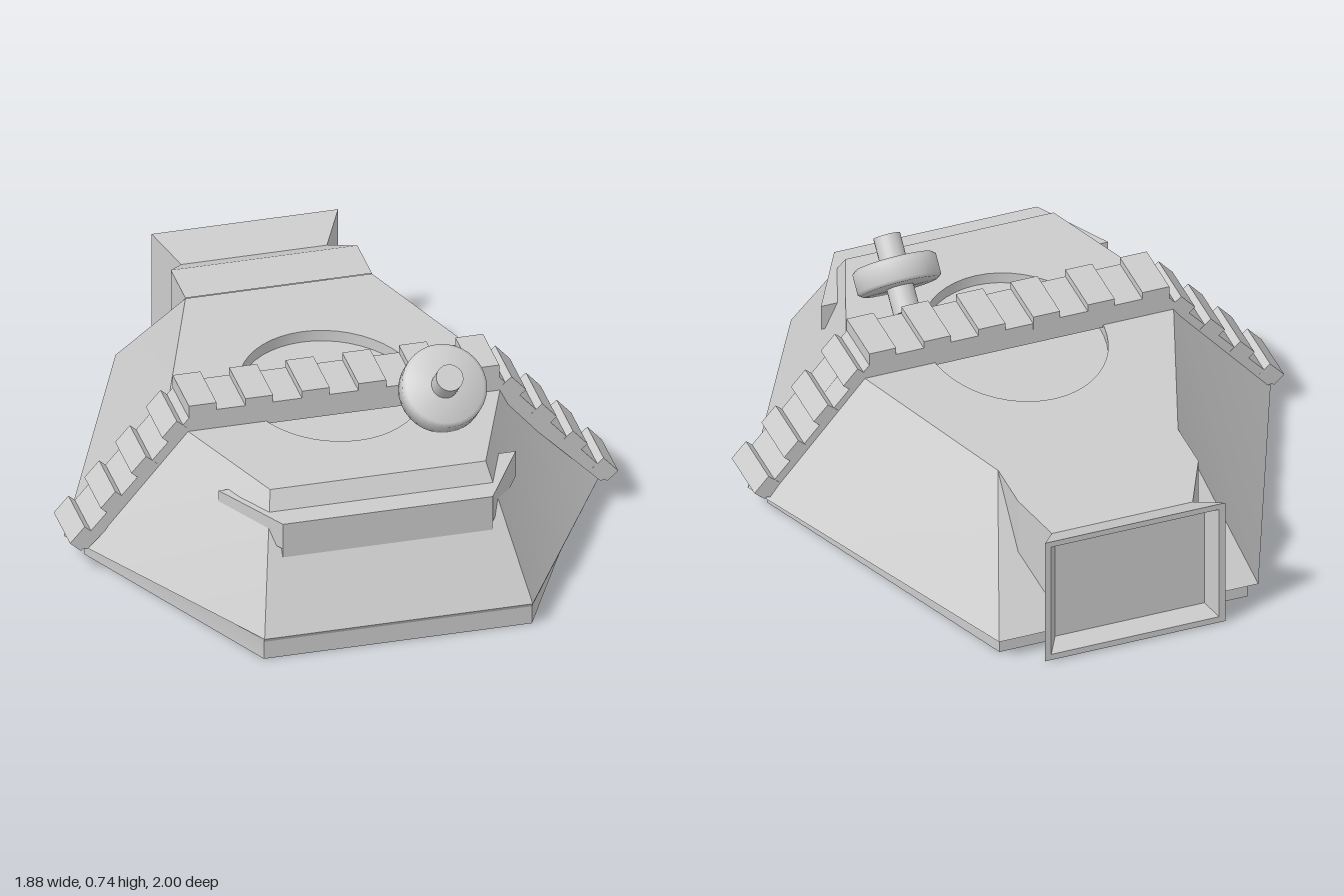
import * as THREE from 'three';
import { toCreasedNormals } from 'three/addons/utils/BufferGeometryUtils.js';

const grey = new THREE.MeshStandardMaterial({ color: 0xcccccc });
const shell = new THREE.MeshStandardMaterial({ color: 0xcccccc, side: THREE.DoubleSide });

// Skin through equal-length closed rings of [x, y, z] points
function loft(rings) {
  const pos = [];
  for (let r = 0; r < rings.length - 1; r++) {
    const a = rings[r], b = rings[r + 1], n = a.length;
    for (let i = 0; i < n; i++) {
      const j = (i + 1) % n;
      pos.push(...a[i], ...a[j], ...b[j], ...a[i], ...b[j], ...b[i]);
    }
  }
  const g = new THREE.BufferGeometry();
  g.setAttribute('position', new THREE.Float32BufferAttribute(pos, 3));
  return toCreasedNormals(g, 0.4);
}

// Six-sided outline, mirrored across x
function hex(y, front, side, back) {
  const half = [front, side, back];
  return [
    ...half.map(([x, z]) => [x, y, z]),
    ...half.slice().reverse().map(([x, z]) => [-x, y, z]),
  ];
}

// Oval outline of the turret ring
function oval(y, n = 48) {
  return Array.from({ length: n }, (_, i) => {
    const a = (i / n) * Math.PI * 2;
    return [0.3 * Math.cos(a), y, 0.12 - 0.37 * Math.sin(a)];
  });
}

// Flat horizontal plate facing up (s = 1) or down (s = -1)
function plate(ring, s, hole) {
  const flat = (r) => r.map(([x, , z]) => new THREE.Vector2(x, -s * z));
  const shape = new THREE.Shape(flat(ring));
  if (hole) shape.holes.push(new THREE.Path(flat(hole)));
  return new THREE.ShapeGeometry(shape).rotateX(-s * Math.PI / 2).translate(0, ring[0][1], 0);
}

// Rectangle across the duct
const rect = (w, y0, y1, z) => [[w, y1, z], [w, y0, z], [-w, y0, z], [-w, y1, z]];

// Solid from half an outline, mirrored across x and extruded along z
function mirroredSlab(half, depth) {
  const points = [...half, ...half.slice().reverse().map(([x, y]) => [-x, y])];
  const shape = new THREE.Shape(points.map(([x, y]) => new THREE.Vector2(x, y)));
  return new THREE.ExtrudeGeometry(shape, { depth, bevelEnabled: false });
}

export function createModel() {
  const model = new THREE.Group();
  const group = (name) => {
    const g = new THREE.Group();
    g.name = name;
    model.add(g);
    return g;
  };
  const add = (name, geometry, material = grey, parent = model) => {
    const mesh = new THREE.Mesh(geometry, material);
    mesh.name = name;
    parent.add(mesh);
    return mesh;
  };

  // Sloped hull with a shallow oval recess in the roof
  const hull = group('hull');
  const lower = hex(0.08, [0.46, 1.0], [0.93, 0.17], [0.46, -0.94]);
  const roof = hex(0.49, [0.37, 0.73], [0.58, 0.17], [0.32, -0.56]);
  add('hullSides', loft([lower, roof]), shell, hull);
  add('roof', plate(roof, 1, oval(0.49)), shell, hull);
  add('recessWall', loft([oval(0.49), oval(0.45)]), shell, hull);
  add('recessFloor', plate(oval(0.45), 1), shell, hull);

  // Skirt around the base, with a six-sided opening underneath
  const skirt = group('skirt');
  const skirtOutline = (y) => hex(y, [0.46, 0.99], [0.86, 0.17], [0.44, -0.89]);
  const opening = (y) => hex(y, [0.3, 0.72], [0.58, 0.2], [0.3, -0.52]);
  add('skirtSides', loft([skirtOutline(0), skirtOutline(0.065), lower]), shell, skirt);
  add('underside', plate(skirtOutline(0), -1, opening(0)), shell, skirt);
  add('openingWall', loft([opening(0.025), opening(0)]), shell, skirt);
  add('innerFloor', plate(opening(0.025), -1, oval(0.025)), shell, skirt);
  add('turretRing', loft([oval(0.002), oval(0.025)]), shell, skirt);
  add('turretBase', plate(oval(0.002), -1), shell, skirt);

  // Flared duct at the rear
  add('rearDuct', loft([
    rect(0.32, 0.1, 0.492, -0.56),
    rect(0.32, 0.1, 0.492, -0.75),
    rect(0.25, 0.1, 0.43, -0.88),
    rect(0.32, 0.005, 0.49, -1),
    rect(0.298, 0.028, 0.468, -1),
    rect(0.265, 0.06, 0.435, -0.95),
    rect(0, 0.25, 0.25, -0.95),
  ]), shell);

  // Wrap-around bar on the front slope
  const bar = group('frontBar');
  add('wrapBar', mirroredSlab([[0.36, 0.86], [0.51, 0.59], [0.45, 0.59], [0.33, 0.76]], 0.095)
    .rotateX(Math.PI / 2).translate(0, 0.428, 0), grey, bar);
  add('barLip', new THREE.BoxGeometry(0.72, 0.04, 0.07).translate(0, 0.32, 0.823), grey, bar);

  // Spare track draped over the roof and down both sides
  const track = group('trackBand');
  add('trackStrip', mirroredSlab([[0.515, 0.56], [0.92, 0.1], [0.88, 0.09], [0.5, 0.48]], 0.21)
    .translate(0, 0, 0.08), grey, track);
  const cleat = new THREE.BoxGeometry(0.095, 0.05, 0.212);
  for (let i = 0; i < 6; i++) {
    add('trackCleat', cleat, grey, track).position.set(-0.485 + i * 0.194, 0.562, 0.185);
  }
  const slope = Math.atan2(0.46, 0.405);
  for (const s of [-1, 1]) {
    for (let i = 0; i < 4; i++) {
      const t = 0.15 + i * 0.26;
      const c = add('trackCleat', cleat, grey, track);
      c.position.set(s * (0.52 + 0.405 * t), 0.56 - 0.46 * t, 0.185);
      c.rotation.z = -s * slope;
      c.scale.x = 0.8;
    }
  }

  // Tilted wheel with its axle, resting on the roof
  const wheel = group('spareWheel');
  wheel.position.set(0.3, 0.612, 0.434);
  wheel.rotation.x = Math.PI / 4;
  const rim = [[0, -0.044], [0.132, -0.044], [0.144, -0.034], [0.144, 0.034], [0.132, 0.044], [0, 0.044]];
  add('wheelDisc', toCreasedNormals(
    new THREE.LatheGeometry(rim.map(([r, y]) => new THREE.Vector2(r, y)), 32), 0.9), grey, wheel);
  add('axle', new THREE.CylinderGeometry(0.046, 0.046, 0.266, 20), grey, wheel);

  return model;
}
